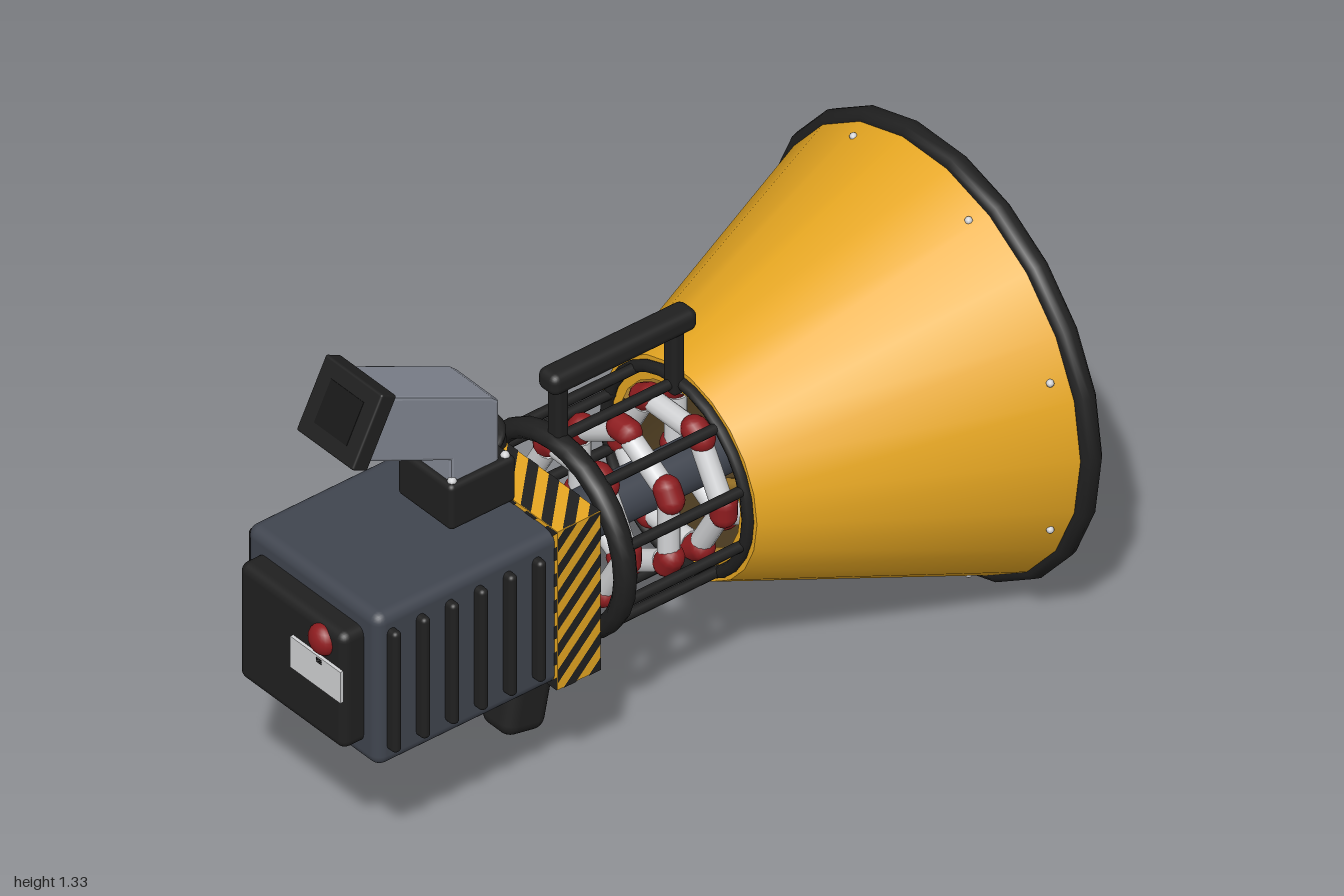
import * as THREE from 'three';
import { RoundedBoxGeometry } from 'three/addons/geometries/RoundedBoxGeometry.js';

const mat = (name, color, side = THREE.FrontSide) => {
  const m = new THREE.MeshStandardMaterial({ color, side });
  m.name = name;
  return m;
};

export function createModel() {
  const yellow = mat('yellow', 0xe8a822, THREE.DoubleSide);
  const brown = mat('hornInside', 0x4e3d21, THREE.BackSide);
  const ochre = mat('ochre', 0xa0782a);
  const black = mat('black', 0x202020);
  const dark = mat('darkRecess', 0x181818);
  const slate = mat('slate', 0x40454f);
  const grey = mat('grey', 0x858a95);
  const silver = mat('silver', 0xd2d3d5);
  const red = mat('red', 0x8e1c1f);

  const model = new THREE.Group();
  model.name = 'hornDevice';
  const AXIS = 0.6;

  const add = (name, geo, material, x = 0, y = 0, z = 0, rx = 0, parent = model) => {
    const m = new THREE.Mesh(geo, material);
    m.name = name;
    m.position.set(x, y, z);
    m.rotation.x = rx;
    parent.add(m);
    return m;
  };
  const rbox = (w, h, d, r) => new RoundedBoxGeometry(w, h, d, 3, r);
  const V = (x, y, z) => new THREE.Vector3(x, y, z);
  // Straight rod between two points
  const rod = (name, a, b, r, material, parent, sides = 10) => {
    const m = add(name, new THREE.CylinderGeometry(r, r, a.distanceTo(b), sides), material, 0, 0, 0, 0, parent);
    m.position.copy(a).add(b).multiplyScalar(0.5);
    m.quaternion.setFromUnitVectors(V(0, 1, 0), b.clone().sub(a).normalize());
    return m;
  };
  const polar = (r, a, z) => V(r * Math.cos(a), AXIS + r * Math.sin(a), z);
  // Open cone around the main axis, from z0 (radius r0) back to z1 (radius r1)
  const shell = (r0, z0, r1, z1) =>
    new THREE.CylinderGeometry(r1, r0, z0 - z1, 22, 1, true, Math.PI / 2)
      .rotateX(-Math.PI / 2).translate(0, AXIS, (z0 + z1) / 2);

  // Horn with rim, lip, throat, skewed inner ribs and bolts
  const horn = new THREE.Group();
  horn.name = 'horn';
  model.add(horn);
  add('hornOuter', shell(0.288, -0.2, 0.582, -0.96), yellow, 0, 0, 0, 0, horn);
  add('hornInner', shell(0.276, -0.2, 0.552, -0.945), brown, 0, 0, 0, 0, horn);
  add('hornLip', shell(0.541, -0.945, 0.556, -0.99), yellow, 0, 0, 0, 0, horn);
  add('hornRim', new THREE.TorusGeometry(0.577, 0.025, 10, 22).scale(1, 1, 1.2), black, 0, AXIS, -0.97, 0, horn);
  add('hornThroat', new THREE.RingGeometry(0.225, 0.288, 22), yellow, 0, AXIS, -0.201, 0, horn);
  add('hornThroatInside', new THREE.RingGeometry(0.225, 0.284, 22), brown, 0, AXIS, -0.205, 0, horn);
  for (let i = 0; i < 8; i++) {
    const a = Math.PI / 8 + i * Math.PI / 4;
    rod('hornRib', polar(0.295, a - 0.44, -0.28), polar(0.468, a, -0.77), 0.017, ochre, horn, 8);
    const p = polar(0.556, a, -0.9);
    add('hornBolt', new THREE.SphereGeometry(0.01, 8, 6), silver, p.x, p.y, p.z, 0, horn);
  }

  // Cage: rings, lengthwise bars and core
  const cage = new THREE.Group();
  cage.name = 'cage';
  model.add(cage);
  add('cageRing', new THREE.TorusGeometry(0.255, 0.026, 10, 28).scale(1, 1, 1.2), black, 0, AXIS, 0.17, 0, cage);
  add('cageBackRing', new THREE.TorusGeometry(0.262, 0.016, 8, 28), black, 0, AXIS, -0.195, 0, cage);
  for (let i = 0; i < 10; i++) {
    const a = Math.PI / 2 + i * Math.PI / 5;
    rod('cageBar', polar(0.258, a, 0.18), polar(0.258, a, -0.2), 0.014, black, cage);
  }
  rod('core', V(0, AXIS, 0.25), V(0, AXIS, -0.36), 0.065, slate, cage, 20);

  // Four rings of red caps joined by silver tubes, every second one turned
  for (let k = 0; k < 4; k++) {
    const z = 0.11 - k * 0.145;
    for (let i = 0; i < 6; i++) {
      const a = (k % 2) * Math.PI / 6 + i * Math.PI / 3;
      const p = polar(0.19, a, z);
      const next = polar(0.19, a + Math.PI / 3, z);
      const cap = add('cap', new THREE.CapsuleGeometry(0.034, 0.03, 5, 12), red, p.x, p.y, p.z, 0, cage);
      cap.rotation.z = a;
      rod('capTube', p.clone().lerp(next, 0.15), p.clone().lerp(next, 0.85), 0.028, silver, cage, 12);
    }
  }

  // Carry handle and grip
  add('carryHandle', rbox(0.07, 0.06, 0.44, 0.022), black, 0, 1.035, -0.015);
  for (const z of [0.165, -0.185])
    add('handlePost', rbox(0.045, 0.2, 0.036, 0.012), black, 0, 0.93, z);
  add('grip', rbox(0.116, 0.34, 0.13, 0.035), black, 0, 0.255, 0.272, -0.2);
  add('gripMount', rbox(0.1, 0.06, 0.12, 0.015), black, 0, 0.38, 0.22);

  // Main body, side fins and end panel
  add('body', rbox(0.49, 0.44, 0.56, 0.03), slate, 0, AXIS, 0.63);
  add('bodyFront', new THREE.BoxGeometry(0.45, 0.4, 0.1), slate, 0, AXIS, 0.285);
  for (const s of [-1, 1])
    for (let i = 0; i < 6; i++)
      add('fin', rbox(0.045, 0.35, 0.026, 0.012), black, s * 0.25, 0.602, 0.43 + i * 0.0875);
  add('endPanel', rbox(0.39, 0.335, 0.085, 0.025), black, 0, AXIS, 0.93);
  add('endPlate', new THREE.BoxGeometry(0.185, 0.09, 0.009), silver, 0.103, 0.627, 0.977);
  for (let i = 0; i < 12; i++)
    add('plateHole', new THREE.BoxGeometry(0.003, 0.003, 0.002), dark,
      0.109 + (i % 4) * 0.005, 0.656 + Math.floor(i / 4) * 0.005, 0.982);
  add('endButton', new THREE.SphereGeometry(0.041, 20, 12).scale(1, 1, 0.75), red, 0.115, 0.718, 0.969);

  // Hazard band: yellow block with slanted stripes on each face
  const [bw, bh, bd, bz] = [0.51, 0.46, 0.13, 0.31];
  add('band', new THREE.BoxGeometry(bw, bh, bd), yellow, 0, AXIS, bz);
  const clip = (pts, sign, lim) => pts.flatMap((p, i) => {
    const q = pts[(i + 1) % pts.length];
    const dp = lim - sign * p.y, dq = lim - sign * q.y;
    const out = dp >= 0 ? [p] : [];
    if (dp * dq < 0) out.push(p.clone().lerp(q, dp / (dp - dq)));
    return out;
  });
  const stripes = (w, h) => {
    const shapes = [];
    for (let v = -h / 2 - w; v < h / 2; v += 0.076) {
      let pts = [[-w / 2, v], [w / 2, v + w], [w / 2, v + w + 0.038], [-w / 2, v + 0.038]]
        .map(([x, y]) => new THREE.Vector2(x, y));
      pts = clip(clip(pts, 1, h / 2), -1, h / 2);
      if (pts.length > 2) shapes.push(new THREE.Shape(pts));
    }
    return new THREE.ShapeGeometry(shapes);
  };
  const e = 0.002, q = Math.PI / 2;
  for (const s of [-1, 1]) {
    add('sideStripes', stripes(bd, bh).rotateY(s * q), black, s * (bw / 2 + e), AXIS, bz);
    add('edgeStripes', stripes(bd, bw).rotateZ(q).rotateX(-s * q), black, 0, AXIS + s * (bh / 2 + e), bz);
    add('faceStripes', stripes(bw, bh).rotateY(s > 0 ? 0 : Math.PI), black, 0, AXIS, bz + s * (bd / 2 + e));
  }

  // Tilted gauge and small button on the band
  const gauge = new THREE.Group();
  gauge.name = 'gauge';
  gauge.position.set(-0.13, 0.847, 0.295);
  gauge.rotation.x = 0.5;
  model.add(gauge);
  add('gaugeCase', new THREE.CylinderGeometry(0.06, 0.055, 0.04, 24), black, 0, -0.015, 0, 0, gauge);
  add('gaugeFace', new THREE.CylinderGeometry(0.052, 0.052, 0.006, 24), silver, 0, 0.009, 0, 0, gauge);
  add('gaugeRing', new THREE.TorusGeometry(0.057, 0.012, 8, 24).rotateX(q), black, 0, 0.006, 0, 0, gauge);
  add('gaugeNeedle', new THREE.BoxGeometry(0.007, 0.004, 0.045), dark, 0, 0.014, -0.01, 0, gauge);
  add('bandButton', new THREE.SphereGeometry(0.021, 14, 10), red, -0.215, 0.84, 0.35);

  // Viewfinder: base, bent neck and eye cup
  add('finderBase', rbox(0.2, 0.13, 0.2, 0.014), black, 0, 0.895, 0.47);
  for (const x of [-0.08, 0.08])
    for (const z of [0.39, 0.55])
      add('finderBolt', new THREE.SphereGeometry(0.012, 8, 6), silver, x, 0.96, z);
  const side = new THREE.Shape(
    [[0.55, 0.94], [0.55, 1.025], [0.825, 1.15], [0.755, 1.295], [0.435, 1.146], [0.415, 1.128], [0.415, 0.94]]
      .map(([z, y]) => new THREE.Vector2(z, y)));
  const neck = new THREE.ExtrudeGeometry(side, {
    depth: 0.15, bevelThickness: 0.008, bevelSize: 0.008, bevelOffset: -0.003, bevelSegments: 2 });
  add('finderNeck', neck.translate(0, 0, -0.075).rotateY(-q), grey);
  const cup = new THREE.Group();
  cup.name = 'eyeCup';
  cup.position.set(0, 1.232, 0.803);
  cup.rotation.x = -0.47;
  model.add(cup);
  add('cupFrame', rbox(0.21, 0.2, 0.05, 0.006), black, 0, 0, 0, 0, cup);
  add('cupRecess', new THREE.BoxGeometry(0.12, 0.115, 0.005), dark, 0, 0, 0.024, 0, cup);

  return model;
}
